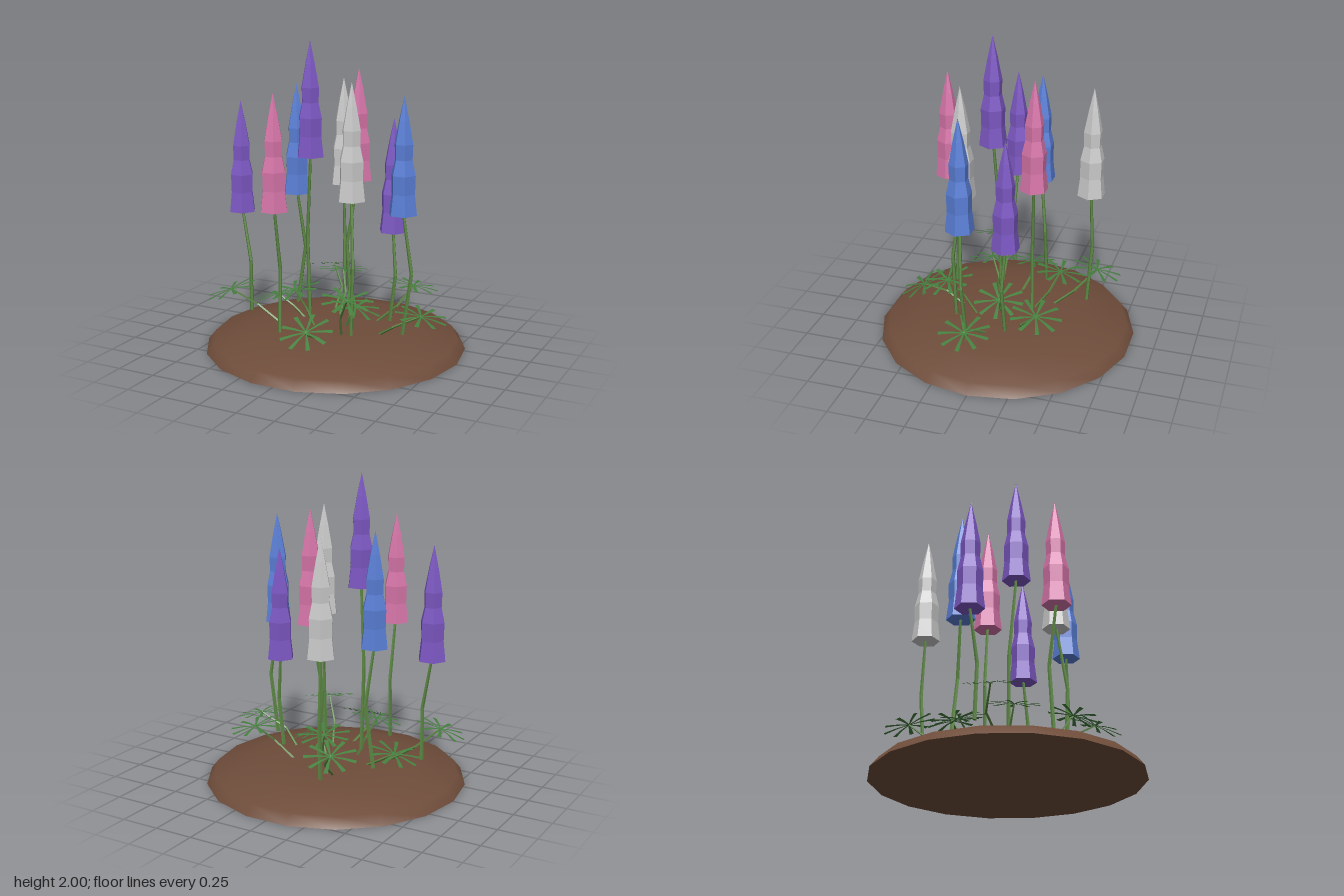
import * as THREE from 'three';
import { mergeGeometries } from 'three/addons/utils/BufferGeometryUtils.js';

const mat = (color, flat = true, side = THREE.FrontSide) => {
  const m = new THREE.MeshStandardMaterial({ color, side });
  m.flatShading = flat;
  return m;
};
const V = (x, y, z) => new THREE.Vector3(x, y, z);

// Tapered straight rod between two points
function rod(a, b, r0, r1, sides = 5) {
  const dir = b.clone().sub(a);
  const g = new THREE.CylinderGeometry(r1, r0, dir.length(), sides);
  g.applyQuaternion(new THREE.Quaternion().setFromUnitVectors(V(0, 1, 0), dir.clone().normalize()));
  const mid = a.clone().add(b).multiplyScalar(0.5);
  return g.translate(mid.x, mid.y, mid.z);
}

// Flower spike: hexagonal, waisted profile, closed below
function spikeGeometry(height) {
  const profile = [[0, 0], [0.092, 0], [0.077, 0.18], [0.08, 0.34], [0.058, 0.47], [0.061, 0.6], [0.033, 0.8], [0, 1]];
  const g = new THREE.LatheGeometry(profile.map(([r, t]) => new THREE.Vector2(r, t * height)), 6);
  return g.rotateY(Math.PI / 2);
}

// Palmate leaf: leaflets that widen towards blunt tips
function leafGeometry(radius, count) {
  const parts = [];
  for (let i = 0; i < count; i++) {
    const g = new THREE.PlaneGeometry(1, radius, 1, 2).rotateX(-Math.PI / 2).translate(0, 0, radius / 2);
    const p = g.attributes.position;
    for (let k = 0; k < p.count; k++) {
      const t = p.getZ(k) / radius;
      p.setX(k, p.getX(k) * (0.008 + 0.02 * t));
      p.setY(k, 0.015 * t * (1 - t));
    }
    g.rotateY((i / count) * Math.PI * 2);
    parts.push(g);
  }
  const leaf = mergeGeometries(parts);
  leaf.computeVertexNormals();
  return leaf;
}

export function createModel() {
  const group = new THREE.Group();
  const add = (geometry, material, name, parent = group) => {
    const mesh = new THREE.Mesh(geometry, material);
    mesh.name = name;
    parent.add(mesh);
    return mesh;
  };

  // Soil mound and its flat underside
  const soil = mat(0x6e4c3a, false);
  const mound = [[0.85, 0], [0.8, 0.062], [0.56, 0.122], [0.3, 0.14], [0, 0.14]];
  add(new THREE.LatheGeometry(mound.map(([r, y]) => new THREE.Vector2(r, y)), 18).rotateY(Math.PI / 2), soil, 'soilMound');
  add(new THREE.CircleGeometry(0.85, 18).rotateX(Math.PI / 2), soil, 'soilUnderside');

  // Flowers: colour, spike x, y, z, then stem foot x, z and stem bend x, z
  const colours = {
    purple: mat(0x7d58c4), blue: mat(0x5b80d8), pink: mat(0xd876aa), white: mat(0xd8d8d8),
  };
  const stemMat = mat(0x5c8743);
  const flowers = [
    ['purple', -0.627, 0.86, 0.115, -0.565, 0.12, -0.56, 0.13],
    ['blue', -0.35, 0.96, -0.13, -0.37, -0.17, -0.31, -0.17],
    ['pink', -0.19, 0.98, 0.46, -0.18, 0.42, -0.185, 0.4],
    ['purple', -0.11, 1.27, 0.13, -0.14, 0.09, -0.15, 0.1],
    ['pink', 0.07, 1.075, -0.195, 0.025, -0.18, 0, -0.17],
    ['white', 0.225, 1.04, 0.23, 0.245, 0.275, 0.262, 0.285],
    ['purple', 0.362, 0.785, -0.098, 0.35, -0.09, 0.39, -0.08],
    ['blue', 0.53, 0.965, 0.138, 0.525, 0.11, 0.585, 0.12],
    ['white', -0.19, 0.965, -0.505, -0.18, -0.5, -0.19, -0.525],
  ];
  const spike = spikeGeometry(0.728);
  for (const [colour, x, y, z, fx, fz, bx, bz] of flowers) {
    const flower = new THREE.Group();
    flower.name = colour + 'Flower';
    group.add(flower);
    const foot = V(fx, 0.185, fz), bend = V(bx, (0.19 + y) / 2 + 0.01, bz), top = V(x, y + 0.02, z);
    add(mergeGeometries([rod(foot, bend, 0.013, 0.012), rod(bend, top, 0.012, 0.009)]), stemMat, 'stem', flower);
    add(spike, colours[colour], 'spike', flower).position.set(x, y, z);
  }

  // Leaves: centre x, y, z, outward tilt, petiole bend x, z
  const leafMat = mat(0x45803f, true, THREE.DoubleSide);
  const leaves = [
    [-0.28, 0.37, -0.545, 0.3, -0.16, -0.42],
    [-0.11, 0.41, -0.335, 0.15, -0.06, -0.27],
    [0.42, 0.37, -0.315, 0.2, 0.35, -0.2],
    [-0.46, 0.26, -0.055, 0.25, -0.35, -0.06],
    [0.155, 0.28, 0.01, 0.3, 0.11, 0.02],
    [0.64, 0.31, 0.085, 0.2, 0.46, 0.11],
    [-0.21, 0.39, 0.17, 0.25, -0.16, 0.11],
    [-0.63, 0.36, 0.265, 0.35, -0.5, 0.155],
    [0.245, 0.43, 0.33, 0.25, 0.16, 0.25],
    [0.08, 0.27, 0.56, 0.4, 0.01, 0.43],
  ];
  const leafGeo = leafGeometry(0.165, 9);
  leaves.forEach(([x, y, z, tilt, bx, bz], i) => {
    const leaf = new THREE.Group();
    leaf.name = 'leaf';
    group.add(leaf);
    const foot = V(x * 0.52, 0.13, z * 0.52), bend = V(bx, 0.13 + (y - 0.13) * 0.5, bz), tip = V(x, y, z);
    add(mergeGeometries([rod(foot, bend, 0.009, 0.008, 4), rod(bend, tip, 0.008, 0.006, 4)]), stemMat, 'petiole', leaf);
    // Blade leans down on the side away from the clump's centre
    const blade = add(leafGeo, leafMat, 'leaflets', leaf);
    blade.position.copy(tip);
    blade.quaternion.setFromAxisAngle(V(z, 0, -x).normalize(), tilt);
    blade.rotateY(i * 1.3);
  });

  return group;
}
